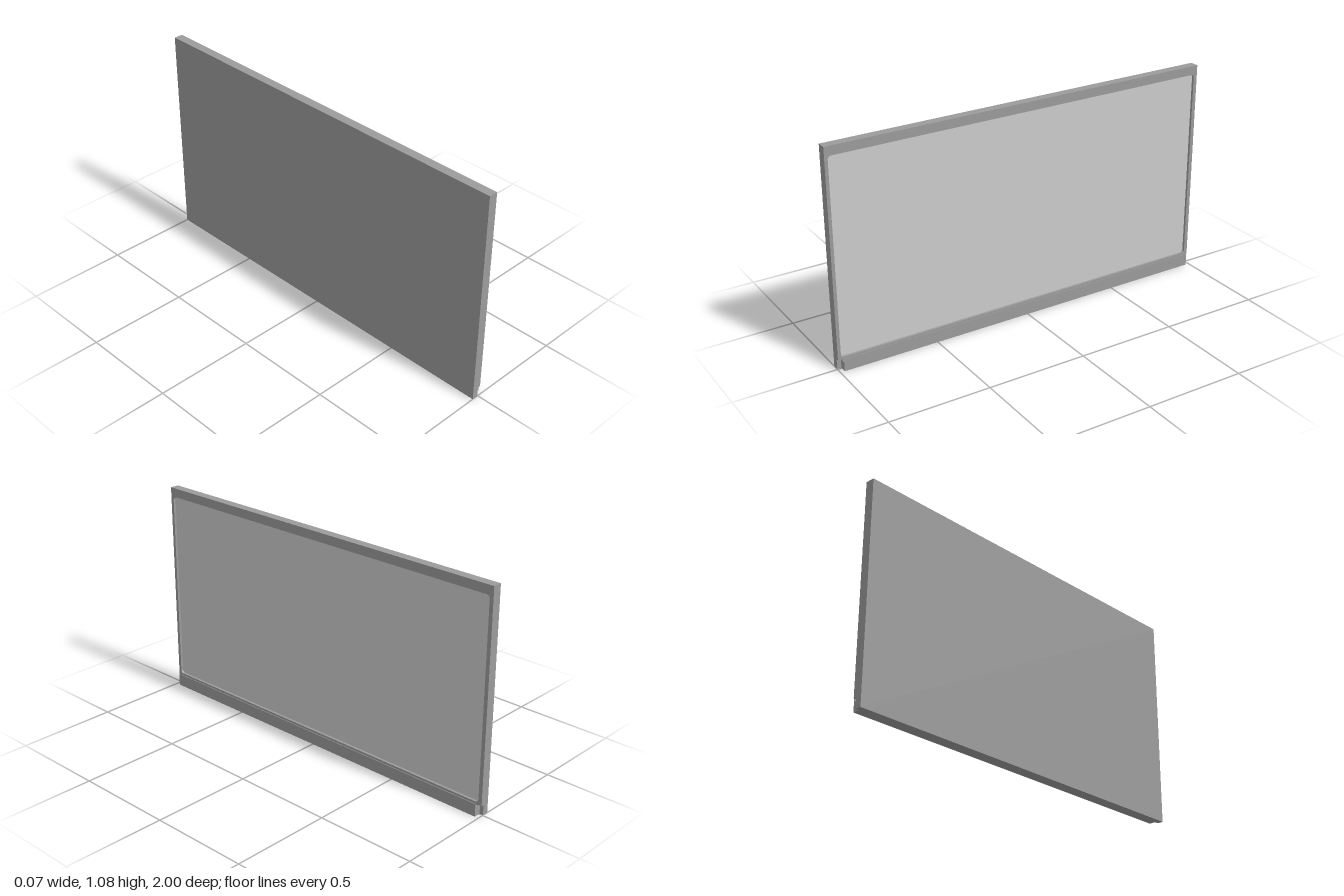
import * as THREE from 'three';

// Wall board facing +x: frame, recessed panel and a lipped tray
const HEIGHT = 1.083, BACK = -0.034, NOTCH = -0.003, FACE = 0.0115, NOTCH_TOP = 0.051;

const polygon = (points) => new THREE.Shape(points.map(([x, y]) => new THREE.Vector2(x, y)));

// Rounded rectangle path used for the opening
function roundedRect(x0, y0, x1, y1, r) {
  const p = new THREE.Path();
  p.absarc(x1 - r, y1 - r, r, 0, Math.PI / 2);
  p.absarc(x0 + r, y1 - r, r, Math.PI / 2, Math.PI);
  p.absarc(x0 + r, y0 + r, r, Math.PI, Math.PI * 1.5);
  p.absarc(x1 - r, y0 + r, r, Math.PI * 1.5, Math.PI * 2);
  p.closePath();
  return p;
}

export function createModel() {
  const frameGrey = new THREE.MeshStandardMaterial({ color: 0x9c9c9c });
  frameGrey.name = 'frame grey';
  const panelGrey = new THREE.MeshStandardMaterial({ color: 0xcccccc });
  panelGrey.name = 'panel light grey';

  const model = new THREE.Group();
  model.name = 'wallBoard';
  const add = (name, geometry, material) => {
    const mesh = new THREE.Mesh(geometry, material);
    mesh.name = name;
    model.add(mesh);
    return mesh;
  };

  // Back slab, full height
  add('backSlab', new THREE.BoxGeometry(NOTCH - BACK, HEIGHT, 2), frameGrey)
    .position.set((NOTCH + BACK) / 2, HEIGHT / 2, 0);

  // Front frame, stopping above the notch that holds the tray
  const ring = polygon([[-1, NOTCH_TOP], [1, NOTCH_TOP], [1, HEIGHT], [-1, HEIGHT]]);
  ring.holes.push(roundedRect(-0.984, 0.062, 0.981, 1.038, 0.016));
  const ringGeometry = new THREE.ExtrudeGeometry(ring, {
    depth: FACE - NOTCH, bevelEnabled: false, curveSegments: 6,
  });
  ringGeometry.rotateY(Math.PI / 2);
  add('frontFrame', ringGeometry, frameGrey).position.x = NOTCH;

  // Recessed writing surface
  add('panel', new THREE.BoxGeometry(0.002, 0.985, 1.98), panelGrey)
    .position.set(NOTCH + 0.001, 0.55, 0);

  // Tray with a thin raised front lip
  const tray = polygon([
    [NOTCH, 0], [0.0315, 0], [0.0315, 0.063], [0.0285, 0.063],
    [0.0285, 0.047], [FACE, 0.047], [FACE, 0.0505], [NOTCH, 0.0505],
  ]);
  add('tray', new THREE.ExtrudeGeometry(tray, { depth: 1.96, bevelEnabled: false }), frameGrey)
    .position.z = -0.981;

  return model;
}
